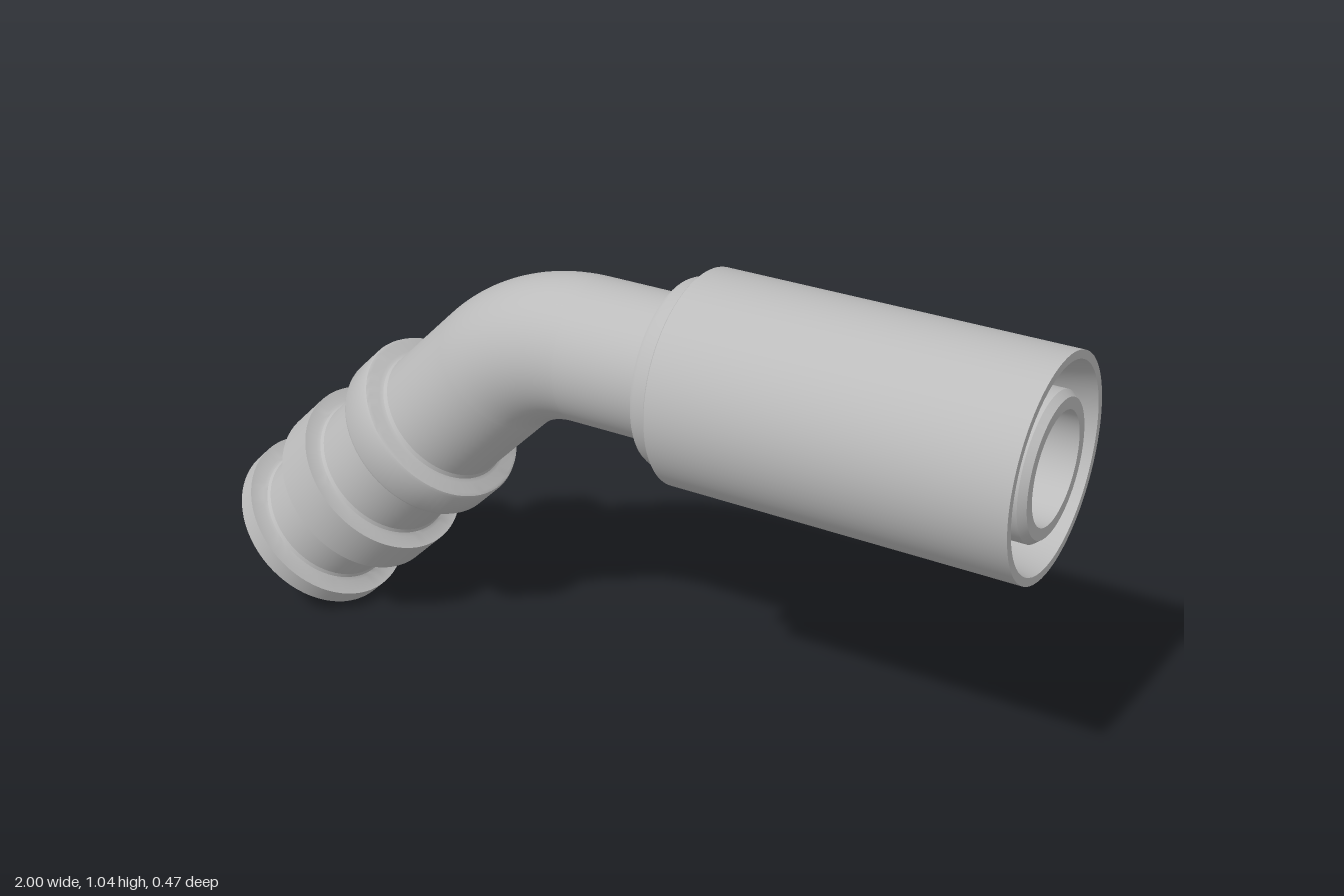
import * as THREE from 'three';
import { toCreasedNormals } from 'three/addons/utils/BufferGeometryUtils.js';

const AXIS_Y = 0.805;   // height of the straight axis
const CORNER_X = -0.195; // where the two pipe axes cross
const BEND_R = 0.34;
const TANGENT = BEND_R * Math.tan(Math.PI / 8);
const PIPE_R = 0.16;
const BORE_R = 0.118;
const SIDES = 72;

export function createModel() {
  const group = new THREE.Group();
  const steel = new THREE.MeshStandardMaterial({ color: 0xbcbcbc, side: THREE.DoubleSide });
  steel.name = 'grey steel';

  // Turned part: profile of [radius, distance along the axis]
  function turned(name, profile, parent) {
    const pts = profile.map(([r, d]) => new THREE.Vector2(r, d));
    const geo = toCreasedNormals(new THREE.LatheGeometry(pts, SIDES), 0.55);
    const mesh = new THREE.Mesh(geo, steel);
    mesh.name = name;
    parent.add(mesh);
  }

  // Straight end: the axis runs along +x from the corner
  const straight = new THREE.Group();
  straight.name = 'straightEnd';
  straight.position.set(0, AXIS_Y, 0);
  straight.rotation.z = -Math.PI / 2;
  group.add(straight);

  const bendStart = CORNER_X + TANGENT;
  turned('straightPipe', [[PIPE_R, bendStart], [PIPE_R, 0.17]], straight);
  turned('crimpSleeve', [
    [PIPE_R, 0.15], [0.164, 0.157], [0.172, 0.161], [0.195, 0.161],
    [0.202, 0.164], [0.206, 0.172], [0.206, 0.213],
    [0.232, 0.213], [0.235, 0.216], [0.235, 1], [0.217, 1], [0.196, 0.9], [0.15, 0.9],
  ], straight);
  turned('innerNipple', [
    [0.155, 0.89], [0.155, 0.985], [0.143, 1], [BORE_R, 1], [BORE_R, bendStart],
  ], straight);

  // Elbow, outside and bore
  for (const [name, r] of [['elbow', PIPE_R], ['elbowBore', BORE_R]]) {
    const mesh = new THREE.Mesh(new THREE.TorusGeometry(BEND_R, r, SIDES, 24, Math.PI / 4), steel);
    mesh.name = name;
    mesh.position.set(bendStart, AXIS_Y - BEND_R, 0);
    mesh.rotation.z = Math.PI / 2;
    group.add(mesh);
  }

  // Angled end: the axis runs down and to -x from the corner
  const angled = new THREE.Group();
  angled.name = 'angledEnd';
  angled.position.set(CORNER_X, AXIS_Y, 0);
  angled.rotation.z = Math.PI * 0.75;
  group.add(angled);

  turned('angledPipe', [[PIPE_R, TANGENT], [PIPE_R, 0.4]], angled);
  turned('collar', [
    [PIPE_R, 0.358], [0.164, 0.367], [0.172, 0.371], [0.198, 0.371],
    [0.205, 0.374], [0.208, 0.381], [0.208, 0.457], [0.205, 0.464], [0.198, 0.467],
    [0.184, 0.467], [0.176, 0.471], [0.172, 0.479],
  ], angled);
  turned('upperNeck', [[0.172, 0.47], [0.172, 0.63]], angled);
  turned('middleRing', [
    [0.172, 0.614], [0.176, 0.622], [0.184, 0.626], [0.214, 0.626],
    [0.214, 0.732], [0.168, 0.732],
  ], angled);
  turned('lowerNeck', [[0.168, 0.73], [0.168, 0.885]], angled);
  turned('endFlange', [
    [0.168, 0.868], [0.172, 0.876], [0.18, 0.88], [0.214, 0.88],
    [0.214, 0.925], [0.193, 0.946], [0.145, 0.946], [0.145, 0.87], [BORE_R, 0.84],
  ], angled);
  turned('angledBore', [[BORE_R, 0.84], [BORE_R, TANGENT]], angled);

  return group;
}
